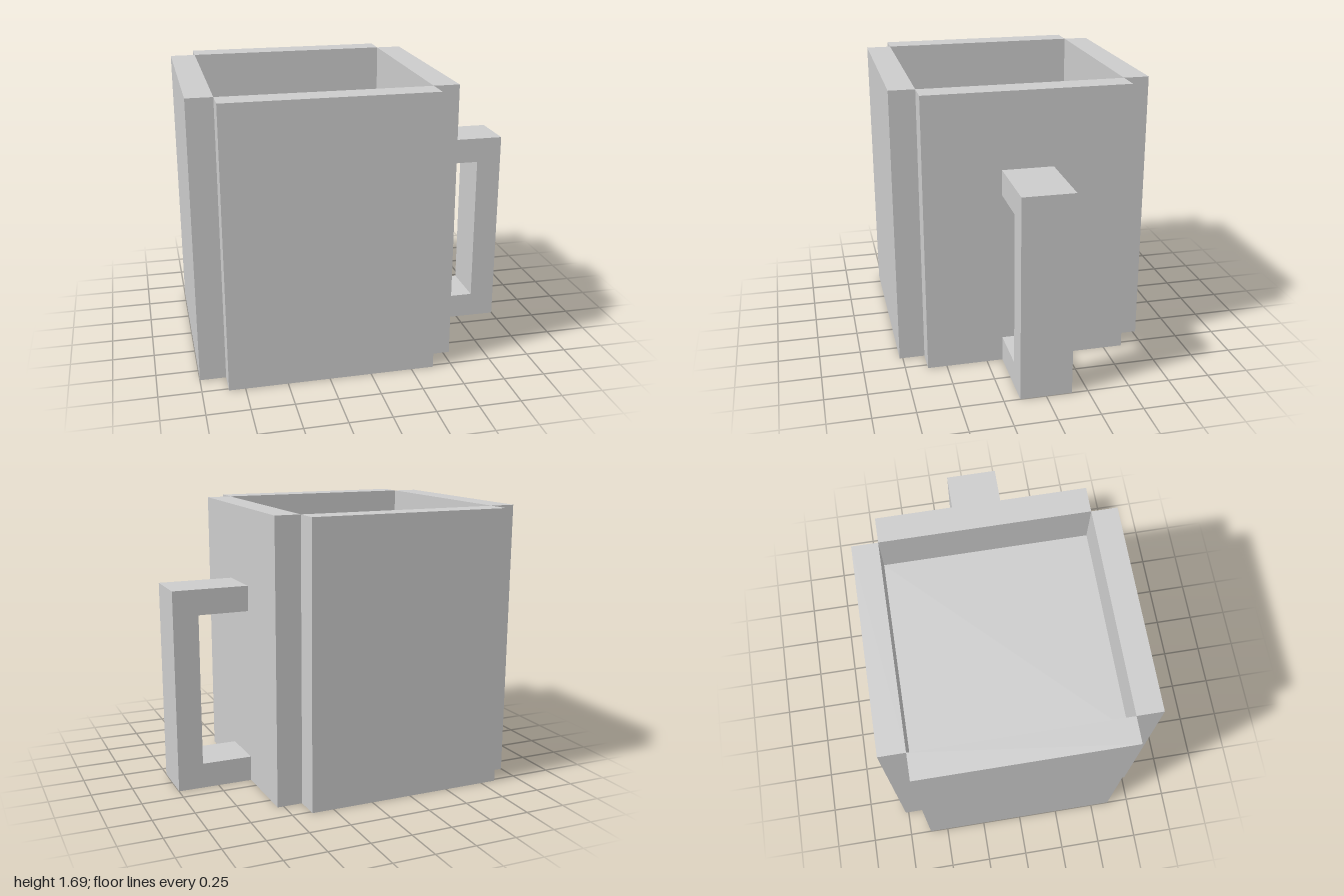
import * as THREE from 'three';

// Everything sits on a block grid: 13 blocks span the 2-unit width.
const U = 2 / 13;

export function createModel() {
  const model = new THREE.Group();
  model.name = 'mug';
  const material = new THREE.MeshStandardMaterial({ color: 0xcccccc, flatShading: true });

  // Box given by its extents in blocks along x, y and z
  function block(name, [x0, x1], [y0, y1], [z0, z1]) {
    const geometry = new THREE.BoxGeometry((x1 - x0) * U, (y1 - y0) * U, (z1 - z0) * U);
    const mesh = new THREE.Mesh(geometry, material);
    mesh.position.set((x0 + x1) / 2 * U, (y0 + y1) / 2 * U, (z0 + z1) / 2 * U);
    mesh.name = name;
    model.add(mesh);
  }

  // Filled core, two blocks below the rim
  block('filling', [-5.5, 2.5], [0, 9], [-4, 4]);

  // Four walls that leave the corners notched
  block('frontWall', [-5.5, 2.5], [0, 11], [4, 5]);
  block('backWall', [-5.5, 2.5], [0, 11], [-5, -4]);
  block('leftWall', [2.5, 3.5], [0, 11], [-4, 4]);
  block('rightWall', [-6.5, -5.5], [0, 11], [-4, 4]);

  // Square C-shaped handle on the left side
  const profile = new THREE.Shape(
    [[3.5, 0], [6.5, 0], [6.5, 8], [3.5, 8], [3.5, 7], [5.5, 7], [5.5, 1], [3.5, 1]]
      .map(([x, y]) => new THREE.Vector2(x * U, y * U))
  );
  const handleGeometry = new THREE.ExtrudeGeometry(profile, { depth: 2 * U, bevelEnabled: false });
  handleGeometry.translate(0, 0, -U);
  const handle = new THREE.Mesh(handleGeometry, material);
  handle.name = 'handle';
  model.add(handle);

  return model;
}
